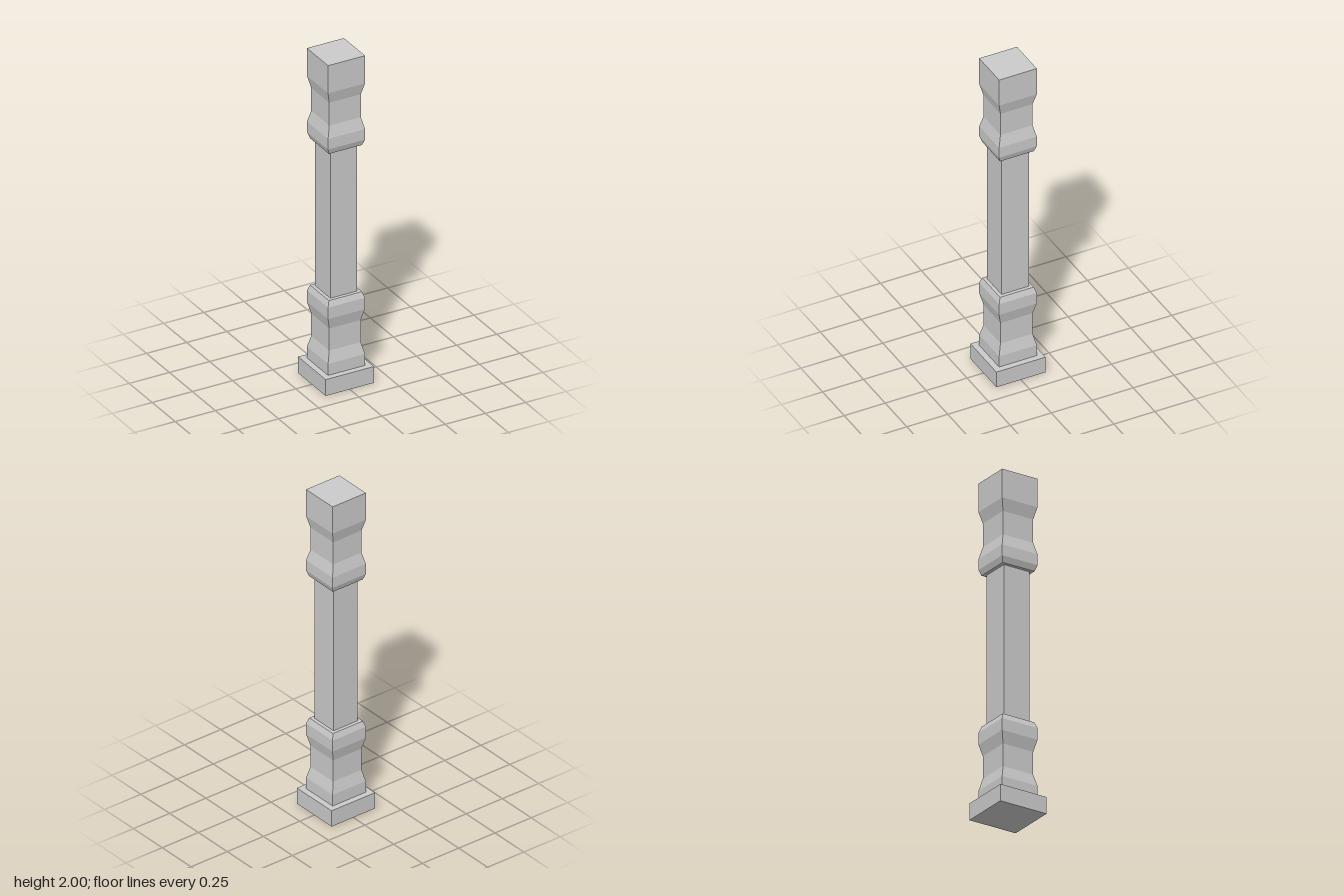
import * as THREE from 'three';

const material = new THREE.MeshStandardMaterial({ color: 0xcccccc, flatShading: true });

// Square turned section: rows of [half width, height], bottom to top, capped at both ends
function squareTurning(name, rows) {
  const points = rows.map(([half, y]) => new THREE.Vector2(half * Math.SQRT2, y));
  points.unshift(new THREE.Vector2(0, rows[0][1]));
  points.push(new THREE.Vector2(0, rows[rows.length - 1][1]));
  const geometry = new THREE.LatheGeometry(points, 4, Math.PI / 4).toNonIndexed();
  geometry.computeVertexNormals();
  const mesh = new THREE.Mesh(geometry, material);
  mesh.name = name;
  return mesh;
}

// Plain square block between two heights
function block(name, width, y0, y1) {
  const mesh = new THREE.Mesh(new THREE.BoxGeometry(width, y1 - y0, width), material);
  mesh.position.y = (y0 + y1) / 2;
  mesh.name = name;
  return mesh;
}

export function createModel() {
  const post = new THREE.Group();
  post.name = 'post';
  const wide = 0.115, waist = 0.098, chamfer = 0.103;

  post.add(block('plinth', 0.3, 0, 0.1));
  post.add(block('shaft', 0.166, 0.55, 1.45));

  // Waisted block with a chamfered top
  post.add(squareTurning('lowerBlock', [
    [wide, 0.1], [wide, 0.17], [waist, 0.24], [waist, 0.375],
    [wide, 0.445], [wide, 0.515], [chamfer, 0.55],
  ]));

  // Waisted block with a chamfered underside and a tall flat top
  post.add(squareTurning('upperBlock', [
    [chamfer, 1.45], [wide, 1.485], [wide, 1.55], [waist, 1.62],
    [waist, 1.76], [wide, 1.83], [wide, 2],
  ]));

  return post;
}
